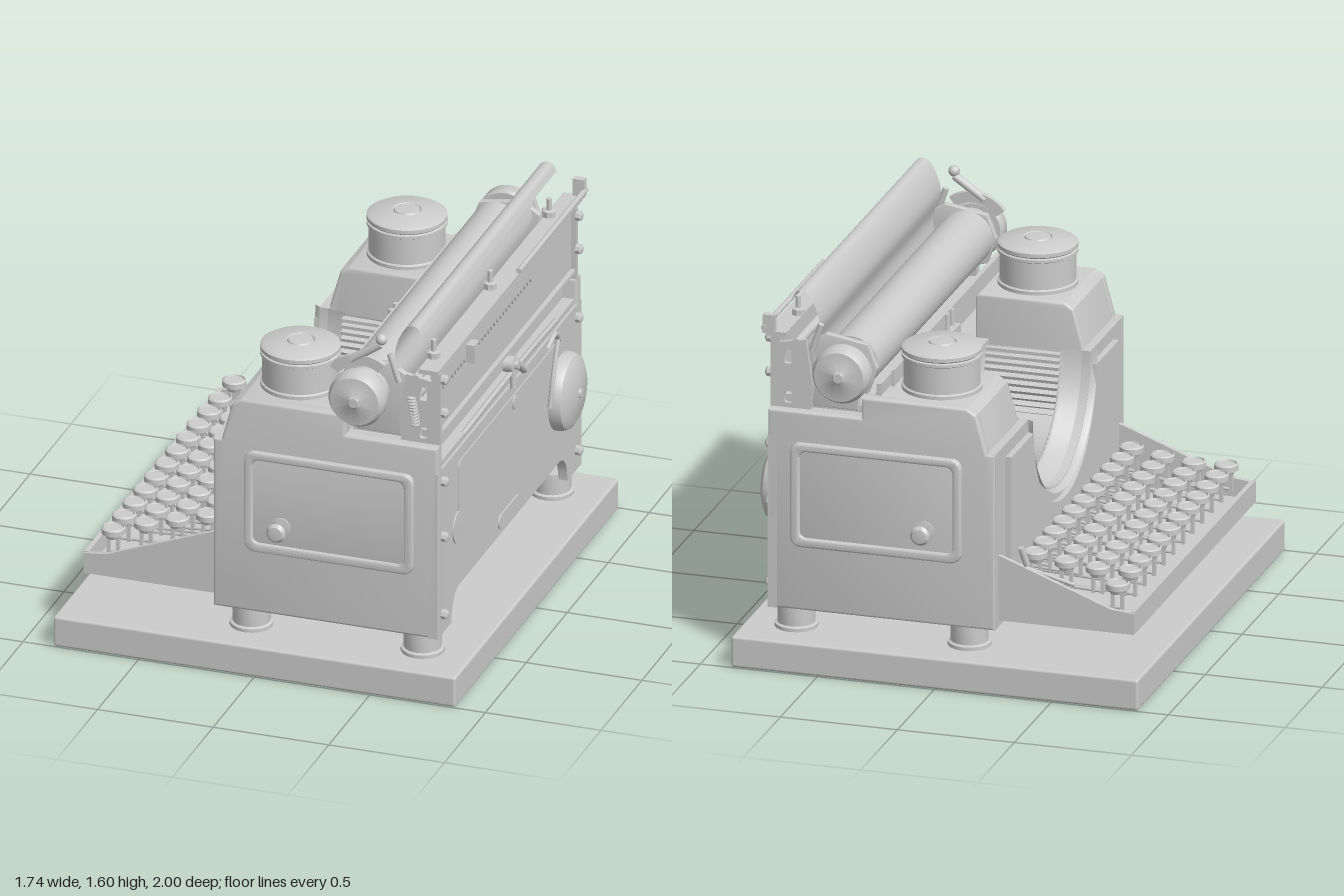
import * as THREE from 'three';
import { RoundedBoxGeometry } from 'three/addons/geometries/RoundedBoxGeometry.js';
import { toCreasedNormals } from 'three/addons/utils/BufferGeometryUtils.js';

const mat = new THREE.MeshStandardMaterial({ color: 0xcccccc });
const thin = new THREE.MeshStandardMaterial({ color: 0xcccccc, side: THREE.DoubleSide });
const V = (x, y, z) => new THREE.Vector3(x, y, z);

export function createModel() {
  const root = new THREE.Group();
  const add = (name, geo, x = 0, y = 0, z = 0, m = mat) => {
    const mesh = new THREE.Mesh(geo, m);
    mesh.name = name;
    mesh.position.set(x, y, z);
    root.add(mesh);
    return mesh;
  };
  // box given by its extents
  const box = (name, x0, x1, y0, y1, z0, z1) =>
    add(name, new THREE.BoxGeometry(x1 - x0, y1 - y0, z1 - z0), (x0 + x1) / 2, (y0 + y1) / 2, (z0 + z1) / 2);
  const poly = pts => new THREE.Shape(pts.map(p => new THREE.Vector2(...p)));
  const roundRect = (x0, x1, y0, y1, r, s = new THREE.Shape()) => {
    s.absarc(x1 - r, y0 + r, r, -Math.PI / 2, 0);
    s.absarc(x1 - r, y1 - r, r, 0, Math.PI / 2);
    s.absarc(x0 + r, y1 - r, r, Math.PI / 2, Math.PI);
    s.absarc(x0 + r, y0 + r, r, Math.PI, Math.PI * 1.5);
    s.closePath();
    return s;
  };
  // extrude a shape drawn in (x, y) from z0 to z1
  const alongZ = (name, shape, z0, z1, b = 0) => {
    const g = new THREE.ExtrudeGeometry(shape, { depth: z1 - z0 - 2 * b, bevelEnabled: b > 0, bevelSize: b, bevelThickness: b, bevelOffset: -b, bevelSegments: 3, curveSegments: 16 });
    return add(name, toCreasedNormals(g, 0.6), 0, 0, z0 + b);
  };
  // extrude a shape drawn in (-z, y) from x0 to x1
  const alongX = (name, shape, x0, x1) => {
    const g = new THREE.ExtrudeGeometry(shape, { depth: x1 - x0, bevelEnabled: false, curveSegments: 24 });
    return add(name, toCreasedNormals(g.rotateY(Math.PI / 2), 0.6), x0);
  };
  // turned part along an axis; profile is [radius, height]
  const turned = (name, pts, axis, x, y, z, seg = 40) => {
    const g = new THREE.LatheGeometry(pts.map(p => new THREE.Vector2(...p)), seg);
    if (axis === 'z') g.rotateX(Math.PI / 2);
    if (axis === '-z') g.rotateX(-Math.PI / 2);
    if (axis === 'x') g.rotateZ(-Math.PI / 2);
    return add(name, toCreasedNormals(g, 0.6), x, y, z, thin);
  };
  const rod = (name, a, b, r, seg = 10) => {
    const d = b.clone().sub(a);
    const m = add(name, new THREE.CylinderGeometry(r, r, d.length(), seg), ...a.clone().add(b).multiplyScalar(0.5).toArray());
    m.quaternion.setFromUnitVectors(V(0, 1, 0), d.normalize());
    return m;
  };
  const tube = (name, pts, r, n = 32) =>
    add(name, new THREE.TubeGeometry(new THREE.CatmullRomCurve3(pts.map(p => V(...p))), n, r, 8));

  // base board and feet
  add('baseBoard', new RoundedBoxGeometry(1.74, 0.135, 2, 2, 0.012), 0, 0.0725, 0);
  for (const z of [-0.79, 0.79]) for (const x of [-0.085, 0.655]) {
    turned('foot', [[0, 0], [0.09, 0], [0.09, 0.015], [0.078, 0.02], [0.078, 0.11], [0, 0.11]], 'y', x, 0.14, z, 16);
  }

  // body: side walls, towers, panels
  const outline = [[0.75, 1.1], [0.35, 1.1], [0.35, 1.19], [-0.1, 1.19], [-0.14, 1.165], [-0.185, 1.0], [-0.22, 1.0]];
  const wall = poly([[-0.22, 0.24], [0.75, 0.24], ...outline]);
  const tower = poly([[-0.2, 0.5], [0.28, 0.5], [0.28, 1.19], ...outline.slice(3, 6), [-0.2, 1.0]]);
  for (const s of [-1, 1]) {
    const span = (a, b) => (s > 0 ? [a, b] : [-b, -a]);
    alongZ('sideWall', wall, ...span(0.82, 0.88), 0.012);
    alongZ('tower', tower, ...span(0.44, 0.85), 0.012);
    // raised side cover with a moulded rim
    alongZ('sideCover', roundRect(-0.08, 0.65, 0.52, 0.97, 0.04), ...span(0.87, 0.888), 0.005);
    const rim = roundRect(-0.08, 0.65, 0.52, 0.97, 0.045);
    rim.holes.push(roundRect(-0.045, 0.61, 0.56, 0.935, 0.03, new THREE.Path()));
    alongZ('sideCoverRim', rim, ...span(0.87, 0.902), 0.008);
    turned('sideKnob', [[0, 0], [0.042, 0], [0.042, 0.008], [0.014, 0.014], [0.012, 0.04], [0.036, 0.052], [0.042, 0.065], [0.03, 0.078], [0, 0.082]],
      s > 0 ? 'z' : '-z', 0.077, 0.645, s * 0.885, 24);
    // ribbon spool cover
    turned('spoolCover', [[0.165, 0], [0.165, 0.015], [0.157, 0.02], [0.157, 0.135], [0.166, 0.14], [0.166, 0.152], [0.158, 0.156], [0.165, 0.162],
      [0.165, 0.178], [0.15, 0.187], [0.06, 0.198], [0.055, 0.192], [0.05, 0.2], [0, 0.203]], 'y', 0.077, 1.19, s * 0.65, 56);
  }
  box('interiorBlock', 0.22, 0.72, 0.5, 1.0, -0.83, 0.83);

  // front panel with its round opening
  const frontShape = (w, y0, y1, r) => {
    const s = new THREE.Shape();
    s.moveTo(-w, y0); s.lineTo(w, y0); s.lineTo(w, y1); s.lineTo(r, y1);
    s.absarc(0, y1, r, 0, Math.PI, true);
    s.lineTo(-w, y1);
    return s;
  };
  alongX('frontPanel', frontShape(0.87, 0.24, 1.0, 0.42), -0.22, -0.18);
  alongX('frontTrim', frontShape(0.73, 0.27, 0.945, 0.425), -0.245, -0.22);

  // half-round type basket with ribs
  const half = (name, pts) => add(name, new THREE.LatheGeometry(pts.map(p => new THREE.Vector2(...p)), 48, 0, Math.PI).rotateZ(-Math.PI / 2), 0, 1.0, 0, thin);
  half('basketLip', [[0.44, -0.245], [0.425, -0.22], [0.41, -0.11], [0.395, -0.1]]);
  half('basketBowl', [[0.4, -0.1], [0.375, 0.21], [0.13, 0.22], [0.11, 0.24]]);
  for (let i = 0; i < 44; i++) {
    const a = Math.PI * (i + 0.5) / 44;
    const rib = add('typeRib', new THREE.BoxGeometry(0.32, 0.03, 0.014), 0.055, 1 - 0.375 * Math.sin(a), 0.375 * Math.cos(a));
    rib.rotation.x = a - Math.PI / 2;
    rib.rotation.x *= -1;
  }
  box('typeGuide', 0.22, 0.27, 0.95, 1.2, -0.06, 0.06);
  rod('guidePost', V(0.25, 1.15, -0.03), V(0.25, 1.27, -0.03), 0.012);
  rod('guidePost', V(0.25, 1.15, 0.03), V(0.25, 1.27, 0.03), 0.012);

  // keyboard tray
  const cheek = poly([[-0.8, 0.27], [-0.2, 0.27], [-0.2, 0.555], [-0.24, 0.545], [-0.7, 0.37], [-0.8, 0.36]]);
  alongZ('trayCheek', cheek, 0.805, 0.825);
  alongZ('trayCheek', cheek, -0.83, -0.81);
  box('trayFloor', -0.8, -0.2, 0.27, 0.29, -0.82, 0.815);
  box('trayFront', -0.8, -0.78, 0.27, 0.365, -0.82, 0.815);

  // four rows of keys with stems and levers
  const rows = [[-0.7, 0.455, -0.56, 11], [-0.58, 0.475, -0.62, 11], [-0.455, 0.5, -0.65, 11], [-0.33, 0.53, -0.67, 11]];
  const capProfile = [[0, -0.045], [0.03, -0.045], [0.036, -0.028], [0.05, -0.024], [0.05, -0.002], [0.043, 0.003], [0.04, -0.004], [0, -0.004]];
  const key = (x, y, z) => {
    turned('keyCap', capProfile, 'y', x, y, z, 24);
    for (const d of [-0.02, 0.02]) box('keyStem', x + d - 0.007, x + d + 0.007, y - 0.12, y - 0.04, z - 0.008, z + 0.008);
    rod('keyLever', V(x - 0.02, y - 0.11, z), V(-0.2, y - 0.09, z), 0.007, 6);
  };
  for (const [x, y, z0, n] of rows) for (let i = 0; i < n; i++) key(x, y, z0 + i * 0.13);
  key(-0.7, 0.455, -0.735);
  rod('shiftRod', V(-0.53, 0.44, -0.78), V(-0.22, 0.52, -0.78), 0.008);
  rod('shiftLever', V(-0.34, 0.52, -0.82), V(-0.32, 0.6, -0.84), 0.014);

  // back plate, arched at the bottom, with raised details
  const back = new THREE.Shape();
  back.moveTo(-0.88, 0.24); back.lineTo(-0.71, 0.24);
  back.quadraticCurveTo(-0.7, 0.37, -0.6, 0.37); back.lineTo(0.6, 0.37);
  back.quadraticCurveTo(0.7, 0.37, 0.71, 0.24); back.lineTo(0.88, 0.24);
  back.lineTo(0.88, 0.985); back.lineTo(-0.88, 0.985);
  alongX('backPlate', back, 0.71, 0.75);
  alongX('backPanel', roundRect(-0.63, 0.62, 0.65, 0.93, 0.03), 0.75, 0.755);
  turned('backBoss', [[0.07, 0], [0.07, 0.006], [0, 0.008]], 'x', 0.75, 0.64, 0.63);
  alongX('backLabel', roundRect(-0.14, 0.115, 0.395, 0.46, 0.03), 0.75, 0.757);
  turned('backPlug', [[0.03, 0], [0.03, 0.012], [0, 0.014]], 'x', 0.75, 0.895, -0.05, 20);
  for (const z of [-0.82, 0.82]) for (const y of [0.33, 0.68, 0.93, 1.24, 1.39])
    turned('backBolt', [[0.022, 0], [0.022, 0.018], [0.012, 0.026], [0, 0.028]], 'x', 0.75, y, z, 8);

  // bell
  turned('bell', [[0.165, 0], [0.165, 0.025], [0.155, 0.05], [0.12, 0.07], [0.02, 0.08], [0.018, 0.09], [0, 0.09]], 'x', 0.755, 0.69, -0.62, 48);
  tube('bellHammer', [[0.765, 0.69, -0.45], [0.77, 0.8, -0.47], [0.77, 0.97, -0.54]], 0.01);
  tube('bellArm', [[0.765, 0.97, -0.42], [0.775, 1.01, -0.48], [0.765, 0.95, -0.56]], 0.012);

  // rear frame, escapement and toothed rack
  for (const z of [-0.84, 0.82]) {
    const post = poly([[0.58, 1.1], [0.75, 1.1], [0.75, 1.42], [0.71, 1.42], [0.71, 1.38], [0.6, 1.4], [0.57, 1.2]]);
    post.holes.push(roundRect(0.66, 0.69, 1.12, 1.17, 0.005, new THREE.Path()), roundRect(0.66, 0.69, 1.29, 1.35, 0.005, new THREE.Path()));
    alongZ('rearPost', post, z, z + 0.02);
  }
  box('rearPlate', 0.7, 0.725, 1.14, 1.42, -0.82, 0.82);
  box('rearShelf', 0.66, 0.74, 0.985, 1.01, -0.82, 0.82);
  box('rearRecess', 0.66, 0.69, 1.0, 1.15, -0.82, 0.82);
  box('rearStrip', 0.725, 0.745, 1.13, 1.145, -0.82, 0.82);
  tube('escapementArm', [[0.75, 1.03, 0.57], [0.765, 1.06, 0.2], [0.765, 1.06, -0.2], [0.75, 1.03, -0.57]], 0.011);
  turned('escapementHub', [[0.035, 0], [0.035, 0.04], [0.018, 0.045], [0.018, 0.06], [0, 0.06]], 'x', 0.735, 1.095, 0.01, 20);
  rod('escapementLink', V(0.77, 1.09, 0.01), V(0.77, 0.99, 0.01), 0.014);
  rod('escapementLink', V(0.76, 1.09, -0.03), V(0.76, 1.0, -0.15), 0.018);
  const rack = [[-0.8, 1.41], [-0.8, 1.35]];
  for (let i = 0; i < 30; i++) {
    const u = -0.78 + i * 0.0367;
    rack.push([u, 1.345], [u + 0.009, 1.325], [u + 0.018, 1.325], [u + 0.027, 1.345]);
  }
  alongX('rack', poly([...rack, [0.32, 1.35], [0.32, 1.41]].reverse()), 0.725, 0.74);
  box('rackStop', 0.725, 0.775, 1.32, 1.4, 0.44, 0.5);
  box('topRail', 0.665, 0.75, 1.425, 1.445, -0.9, 0.87);
  rod('marginRod', V(0.755, 1.465, -0.92), V(0.755, 1.465, -0.1), 0.012);
  box('railEnd', 0.71, 0.76, 1.44, 1.52, -0.915, -0.885);
  for (const z of [-0.67, 0.05, 0.74])
    turned('railNut', [[0.028, 0], [0.028, 0.025], [0.012, 0.03], [0.012, 0.08], [0, 0.085]], 'y', 0.685, 1.445, z, 8);

  // carriage: platen, end plates, rails, paper table
  rod('platen', V(0.425, 1.3, -0.78), V(0.425, 1.3, 0.78), 0.115, 48);
  rod('platenAxle', V(0.425, 1.3, -0.92), V(0.425, 1.3, 0.92), 0.05, 24);
  const knob = [[0, 0], [0.11, 0], [0.12, 0.01], [0.12, 0.06], [0.105, 0.085], [0.03, 0.092], [0.02, 0.1], [0, 0.1]];
  turned('platenKnob', knob, 'z', 0.42, 1.3, 0.88);
  turned('platenKnob', knob, '-z', 0.42, 1.3, -0.88);
  const end = poly([[0.38, 1.11], [0.57, 1.11], [0.62, 1.2], [0.6, 1.38], [0.52, 1.43], [0.34, 1.4], [0.3, 1.3], [0.34, 1.19], [0.38, 1.18]]);
  alongZ('carriageEnd', end, 0.79, 0.82, 0.004);
  alongZ('carriageEnd', end, -0.82, -0.79, 0.004);
  turned('ratchetWheel', [[0, 0], [0.1, 0], [0.1, 0.03], [0, 0.03]], 'z', 0.425, 1.3, 0.83, 28);
  box('frontRail', 0.28, 0.3, 1.12, 1.24, -0.83, 0.83);
  box('lineScale', 0.255, 0.265, 1.2, 1.27, -0.74, 0.74);
  box('carriageBed', 0.36, 0.66, 1.1, 1.13, -0.81, 0.81);
  rod('feedRoller', V(0.58, 1.24, -0.8), V(0.58, 1.24, 0.8), 0.035, 20);
  rod('rearRod', V(0.64, 1.38, -0.84), V(0.64, 1.38, 0.84), 0.02, 16);
  const sheet = new THREE.CatmullRomCurve3([[0.55, 1.24], [0.57, 1.36], [0.545, 1.47], [0.57, 1.56], [0.605, 1.605], [0.64, 1.605], [0.66, 1.57]].map(p => V(p[0], p[1], 0))).getPoints(28);
  const table = new THREE.PlaneGeometry(1, 1, 28, 1);
  for (let i = 0; i < table.attributes.position.count; i++) {
    const p = sheet[i % 29];
    table.attributes.position.setXYZ(i, p.x, p.y, i < 29 ? 0.82 : -0.83);
  }
  table.computeVertexNormals();
  add('paperTable', table, 0, 0, 0, thin);

  // line-space lever, release levers and spring
  const lever = new THREE.Shape();
  lever.absarc(0.42, 1.3, 0.17, 2.5, 0.95, true);
  lever.absarc(0.42, 1.3, 0.125, 0.95, 2.5, false);
  alongZ('spacingArm', lever, 0.85, 0.875);
  rod('spacingLever', V(0.37, 1.44, 0.862), V(0.5, 1.53, 0.862), 0.018);
  add('spacingBall', new THREE.SphereGeometry(0.024, 16, 12), 0.502, 1.55, 0.862);
  for (const z of [-0.85, 0.84]) rod('releaseLever', V(0.57, 1.36, z), V(0.53, 1.48, z), 0.013);
  const coil = [];
  for (let i = 0; i <= 72; i++) coil.push([0.63 + 0.015 * Math.cos(i * 0.87) + i * 0.0003, 1.31 - i * 0.0018, 0.86 + 0.015 * Math.sin(i * 0.87)]);
  tube('spring', coil, 0.004, 200);
  return root;
}
